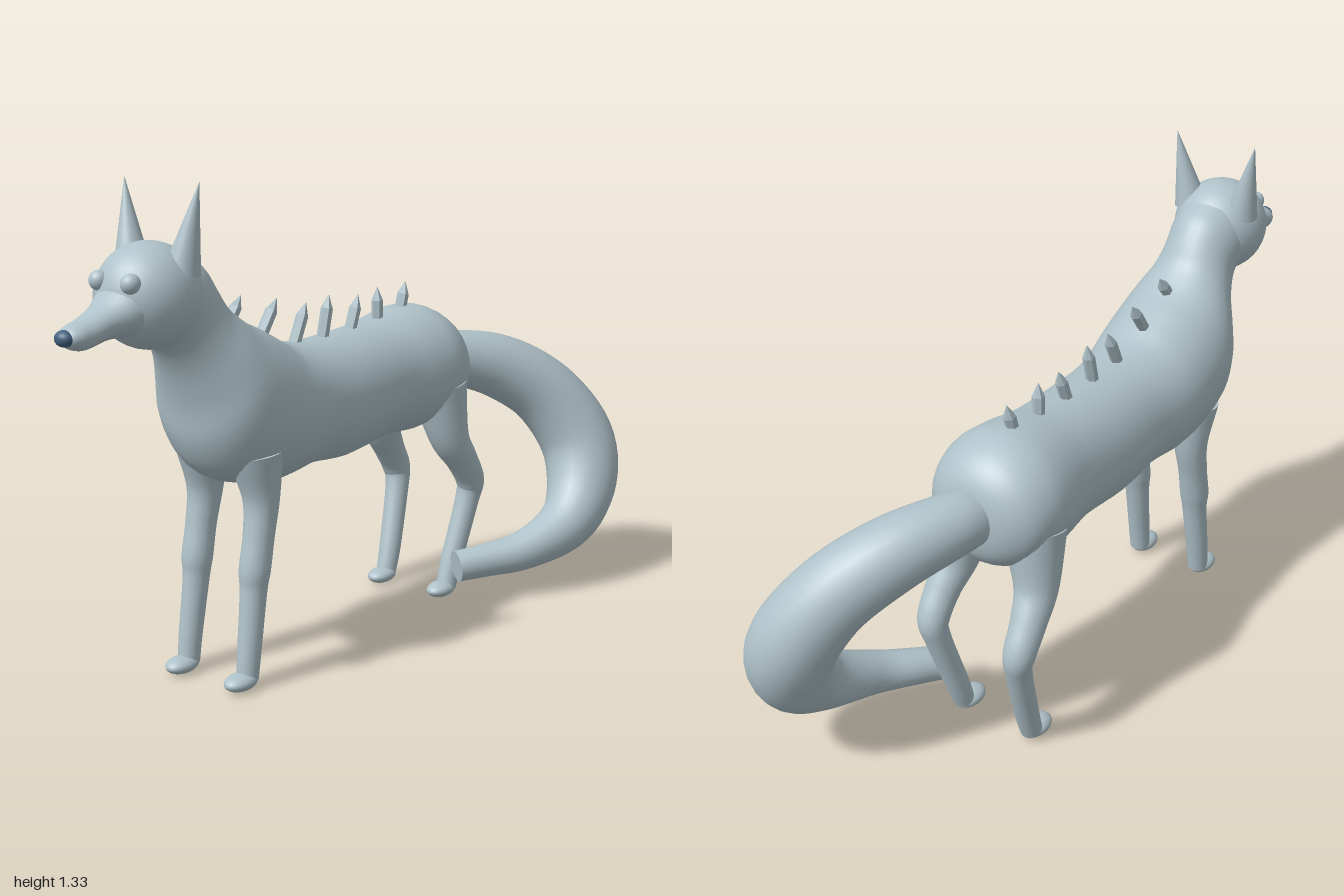
import * as THREE from 'three';

const V = (x, y, z) => new THREE.Vector3(x, y, z);
const fur = new THREE.MeshStandardMaterial({ color: 0xafc2c9 });
fur.name = 'paleBlueGrey';
const noseBlue = new THREE.MeshStandardMaterial({ color: 0x44627f });
noseBlue.name = 'noseBlue';

function mesh(name, geometry, material = fur) {
  const m = new THREE.Mesh(geometry, material);
  m.name = name;
  return m;
}

// Skin over elliptical rings {c, u, v}, closed with flat caps
function skin(rings, n = 32) {
  const pos = [], idx = [];
  const ringPoints = ({ c, u, v }) => {
    for (let j = 0; j < n; j++) {
      const a = (j / n) * Math.PI * 2;
      const p = c.clone().addScaledVector(u, Math.cos(a)).addScaledVector(v, Math.sin(a));
      pos.push(p.x, p.y, p.z);
    }
  };
  rings.forEach((r, i) => {
    ringPoints(r);
    if (!i) return;
    for (let j = 0; j < n; j++) {
      const k = (j + 1) % n, a = (i - 1) * n, b = i * n;
      idx.push(a + j, a + k, b + j, a + k, b + k, b + j);
    }
  });
  [rings[0], rings[rings.length - 1]].forEach((r, end) => {
    const s = pos.length / 3;
    ringPoints(r);
    pos.push(r.c.x, r.c.y, r.c.z);
    for (let j = 0; j < n; j++) {
      const k = (j + 1) % n;
      if (end) idx.push(s + j, s + k, s + n);
      else idx.push(s + k, s + j, s + n);
    }
  });
  const g = new THREE.BufferGeometry();
  g.setAttribute('position', new THREE.Float32BufferAttribute(pos, 3));
  g.setIndex(idx);
  g.computeVertexNormals();
  return g;
}

const spline = (pts) => new THREE.CatmullRomCurve3(pts, false, 'catmullrom', 0.5);

// Sections given as [topZ, topY, bottomZ, bottomY, halfWidth]
function profileLoft(sections, per = 4) {
  const top = spline(sections.map((s) => V(0, s[1], s[0])));
  const bottom = spline(sections.map((s) => V(0, s[3], s[2])));
  const width = spline(sections.map((s) => V(s[4], 0, 0)));
  const rings = [], n = (sections.length - 1) * per;
  for (let i = 0; i <= n; i++) {
    const t = top.getPoint(i / n), b = bottom.getPoint(i / n);
    rings.push({
      c: t.clone().add(b).multiplyScalar(0.5),
      u: V(Math.max(0, width.getPoint(i / n).x), 0, 0),
      v: t.sub(b).multiplyScalar(0.5),
    });
  }
  return skin(rings);
}

// Round limb through points [x, y, z, radius]
function limb(points, per = 6) {
  const path = spline(points.map((p) => V(p[0], p[1], p[2])));
  const radius = spline(points.map((p) => V(p[3], 0, 0)));
  const rings = [], n = (points.length - 1) * per;
  let side = V(1, 0, 0);
  for (let i = 0; i <= n; i++) {
    const t = path.getTangent(i / n), r = radius.getPoint(i / n).x;
    side = side.clone().addScaledVector(t, -side.dot(t)).normalize();
    rings.push({
      c: path.getPoint(i / n),
      u: side.clone().multiplyScalar(r),
      v: t.clone().cross(side).multiplyScalar(r),
    });
  }
  return skin(rings, 24);
}

function ball(name, x, y, z, rx, ry, rz, material) {
  const m = mesh(name, new THREE.SphereGeometry(1, 32, 20), material);
  m.position.set(x, y, z);
  m.scale.set(rx, ry, rz);
  return m;
}

// Stand a y-up part with its base at a, pointing to b
function aim(m, a, b) {
  m.position.copy(a);
  m.quaternion.setFromUnitVectors(V(0, 1, 0), b.clone().sub(a).normalize());
  return m;
}

export function createModel() {
  const model = new THREE.Group();
  model.name = 'fox';
  const body = new THREE.Group();
  body.name = 'body';
  body.position.x = -0.133;
  model.add(body);

  // Torso and neck
  body.add(mesh('torso', profileLoft([
    [-0.537, 0.70, -0.537, 0.70, 0],
    [-0.53, 0.77, -0.53, 0.63, 0.075],
    [-0.51, 0.82, -0.51, 0.58, 0.125],
    [-0.47, 0.86, -0.47, 0.545, 0.165],
    [-0.40, 0.887, -0.40, 0.53, 0.185],
    [-0.32, 0.885, -0.32, 0.52, 0.18],
    [-0.19, 0.863, -0.19, 0.525, 0.163],
    [0, 0.853, 0, 0.506, 0.165],
    [0.13, 0.855, 0.15, 0.517, 0.163],
    [0.22, 0.87, 0.29, 0.505, 0.178],
    [0.28, 0.90, 0.41, 0.522, 0.186],
    [0.34, 0.93, 0.51, 0.565, 0.186],
    [0.39, 0.952, 0.565, 0.65, 0.175],
    [0.435, 0.98, 0.587, 0.75, 0.152],
    [0.475, 1.015, 0.62, 0.845, 0.122],
    [0.505, 1.065, 0.665, 0.915, 0.105],
    [0.545, 1.118, 0.72, 0.945, 0.108],
    [0.60, 1.15, 0.76, 0.97, 0.105],
  ])));

  // Head
  body.add(ball('head', 0, 1.055, 0.70, 0.132, 0.132, 0.134));
  body.add(mesh('snout', profileLoft([
    [0.74, 1.12, 0.72, 0.95, 0.10],
    [0.81, 1.095, 0.80, 0.965, 0.08],
    [0.86, 1.058, 0.86, 0.968, 0.055],
    [0.92, 1.03, 0.92, 0.956, 0.045],
    [0.955, 1.02, 0.95, 0.957, 0.042],
    [0.978, 1.008, 0.972, 0.968, 0.03],
    [0.985, 0.99, 0.985, 0.985, 0.004],
  ])));
  body.add(ball('nose', 0, 0.99, 0.979, 0.026, 0.02, 0.021, noseBlue));

  for (const s of [1, -1]) {
    const side = s > 0 ? 'left' : 'right';
    body.add(ball(side + 'Eye', s * 0.052, 1.1, 0.812, 0.025, 0.025, 0.025));

    const base = V(s * 0.082, 1.115, 0.668), tip = V(s * 0.123, 1.33, 0.645);
    const h = base.distanceTo(tip);
    body.add(aim(mesh(side + 'Ear', new THREE.ConeGeometry(0.046, h, 32).translate(0, h / 2, 0)), base, tip));

    // Legs and paws
    body.add(mesh(side + 'FrontLeg', limb([
      [s * 0.09, 0.62, 0.42, 0.075], [s * 0.097, 0.5, 0.407, 0.05],
      [s * 0.1, 0.4, 0.422, 0.042], [s * 0.1, 0.31, 0.44, 0.042],
      [s * 0.1, 0.25, 0.447, 0.036], [s * 0.103, 0.1, 0.47, 0.032],
      [s * 0.103, 0.025, 0.48, 0.03],
    ])));
    body.add(ball(side + 'FrontPaw', s * 0.103, 0.023, 0.506, 0.037, 0.023, 0.053));
    body.add(mesh(side + 'HindLeg', limb([
      [s * 0.1, 0.65, -0.40, 0.085], [s * 0.123, 0.5, -0.425, 0.06],
      [s * 0.135, 0.42, -0.476, 0.048], [s * 0.137, 0.345, -0.522, 0.043],
      [s * 0.13, 0.28, -0.517, 0.036], [s * 0.115, 0.1, -0.46, 0.033],
      [s * 0.112, 0.025, -0.435, 0.03],
    ])));
    body.add(ball(side + 'HindPaw', s * 0.11, 0.023, -0.41, 0.037, 0.023, 0.053));
  }

  // Back spikes: [baseZ, baseY, tipZ, tipY]
  [
    [0.415, 0.94, 0.36, 1.012], [0.285, 0.89, 0.217, 0.985],
    [0.147, 0.845, 0.093, 0.957], [0.024, 0.84, -0.008, 0.965],
    [-0.1, 0.84, -0.142, 0.947], [-0.233, 0.845, -0.233, 0.957],
    [-0.345, 0.87, -0.372, 0.957],
  ].forEach(([bz, by, tz, ty], i) => {
    const a = V(0, by, bz), b = V(0, ty, tz), h = a.distanceTo(b);
    const outline = [[0, 0], [0.017, 0], [0.017, h - 0.04], [0, h]].map((p) => new THREE.Vector2(...p));
    const g = new THREE.LatheGeometry(outline, 6).toNonIndexed();
    g.computeVertexNormals();
    body.add(aim(mesh('backSpike' + (i + 1), g), a, b));
  });

  // Tail sweeping out to the left and back in
  model.add(mesh('tail', limb([
    [-0.13, 0.70, -0.47, 0.07], [-0.10, 0.70, -0.57, 0.083],
    [-0.02, 0.66, -0.71, 0.098], [0.075, 0.57, -0.825, 0.107],
    [0.16, 0.43, -0.885, 0.115], [0.205, 0.30, -0.85, 0.108],
    [0.215, 0.195, -0.745, 0.085], [0.165, 0.137, -0.59, 0.06],
    [0.095, 0.118, -0.48, 0.05], [0.04, 0.108, -0.40, 0.046],
  ])));

  return model;
}
